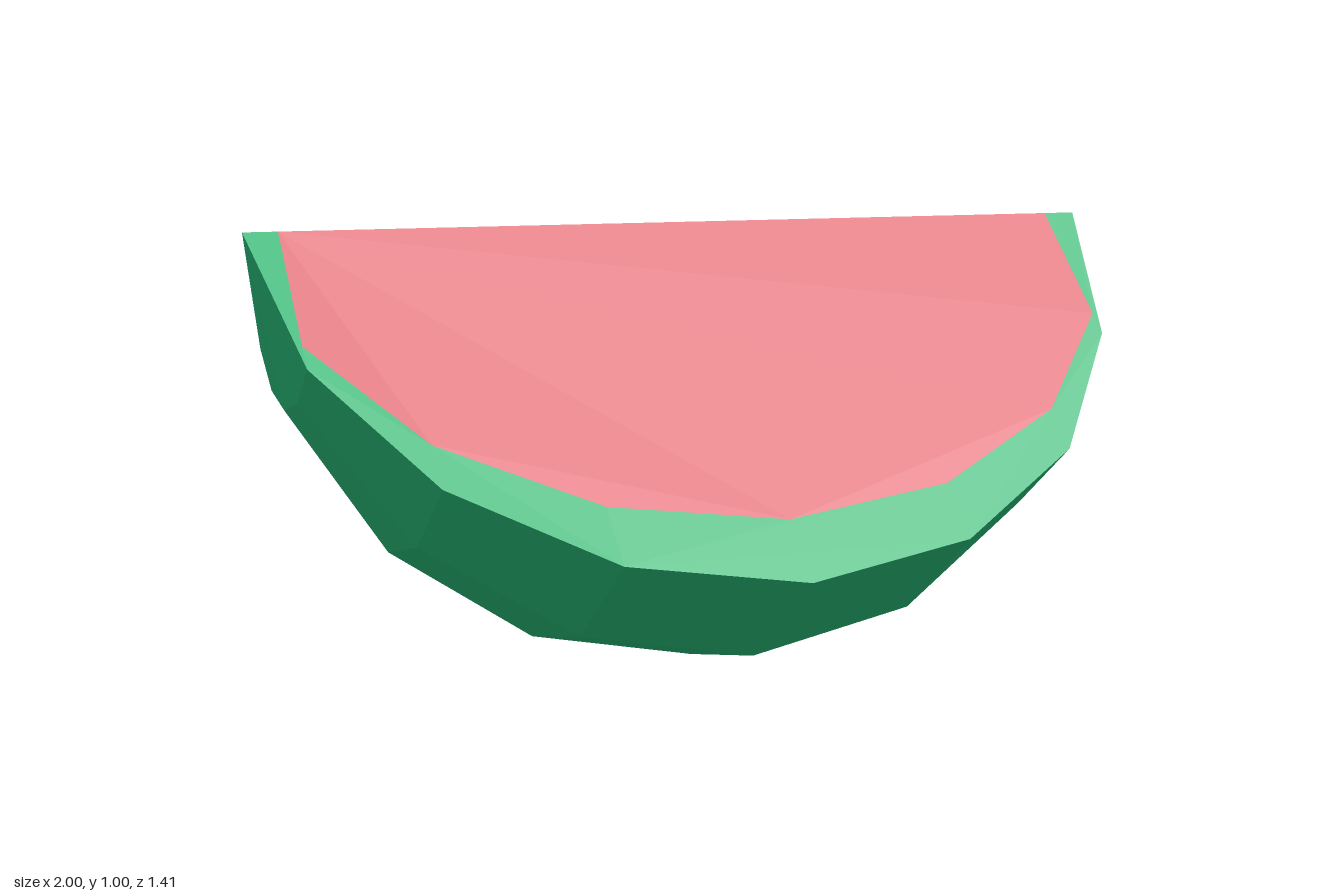
import * as THREE from 'three';

const DEG = Math.PI / 180;
const RINGS = 8;                       // facets from tip to tip
const FRONT = 47 * DEG, BACK = -43 * DEG; // cut angles, measured from straight down

export function createModel() {
  const rindGreen = new THREE.MeshStandardMaterial({ color: 0x27b876, flatShading: true });
  rindGreen.name = 'rindGreen';
  const fleshRed = new THREE.MeshStandardMaterial({ color: 0xe06c76, flatShading: true });
  fleshRed.name = 'fleshRed';

  const model = new THREE.Group();
  model.name = 'melonWedge';

  const add = (parent, name, geometry, material) => {
    const mesh = new THREE.Mesh(geometry, material);
    mesh.name = name;
    parent.add(mesh);
    return mesh;
  };

  // Outer shell: a faceted slice of a sphere with its poles on the x axis
  const shell = new THREE.SphereGeometry(1, 4, RINGS, BACK, FRONT - BACK);
  shell.rotateZ(Math.PI / 2);
  add(model, 'outerRind', shell, rindGreen);

  // Half-round outline of a cut face, hanging below the wedge's top edge
  const arc = (from, to, depth) => {
    const points = [];
    for (let i = from; i <= to; i++) {
      const t = (i / RINGS) * Math.PI;
      points.push(new THREE.Vector2(-Math.cos(t), -Math.sin(t) * depth));
    }
    return points;
  };

  // Cut face: red flesh surrounded by a rind border
  const addCut = (name, angle, turn, depth) => {
    const cut = new THREE.Group();
    cut.name = name;
    cut.rotation.set(-angle, turn, 0);
    const edge = Math.cos(Math.PI / RINGS);
    const flesh = [
      new THREE.Vector2(-edge, 0),
      ...arc(1, RINGS - 1, depth),
      new THREE.Vector2(edge, 0),
    ];
    const border = [...arc(0, RINGS, 1), ...flesh.slice().reverse()];
    add(cut, name + 'Flesh', new THREE.ShapeGeometry(new THREE.Shape(flesh)), fleshRed);
    add(cut, name + 'RindBorder', new THREE.ShapeGeometry(new THREE.Shape(border)), rindGreen);
    model.add(cut);
  };
  addCut('frontCut', FRONT, 0, 0.84);
  addCut('backCut', BACK, Math.PI, 0.818);

  // Rest on the ground and centre front to back
  model.position.set(0, Math.cos(2 * DEG), -(Math.sin(FRONT) + Math.sin(BACK)) / 2);
  const root = new THREE.Group();
  root.name = 'melonSlice';
  root.add(model);
  return root;
}
